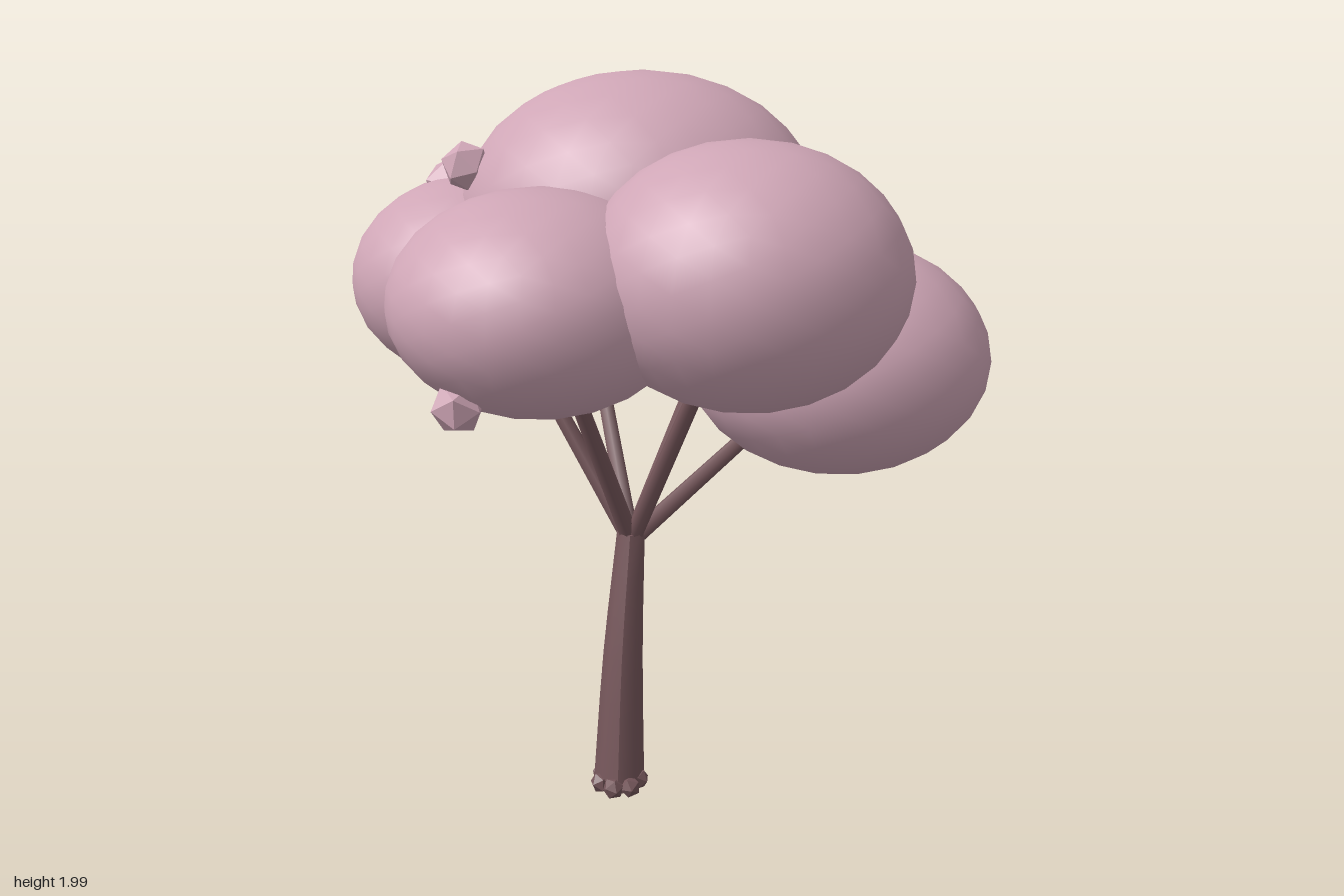
import * as THREE from 'three';
import { mergeVertices } from 'three/addons/utils/BufferGeometryUtils.js';

const material = (name, color) => {
  const m = new THREE.MeshStandardMaterial({ color });
  m.name = name;
  return m;
};

// Smooth sphere made of even triangles
function puffGeometry() {
  const g = new THREE.IcosahedronGeometry(1, 4);
  g.deleteAttribute('uv');
  g.deleteAttribute('normal');
  const merged = mergeVertices(g, 1e-4);
  merged.computeVertexNormals();
  return merged;
}

// Tapered limb between two points
function limb(from, to, r0, r1, sides) {
  const a = new THREE.Vector3(...from), b = new THREE.Vector3(...to);
  const dir = b.clone().sub(a);
  const g = new THREE.CylinderGeometry(r1, r0, dir.length(), sides);
  g.applyQuaternion(new THREE.Quaternion().setFromUnitVectors(new THREE.Vector3(0, 1, 0), dir.normalize()));
  g.translate(...a.add(b).multiplyScalar(0.5).toArray());
  return g;
}

export function createModel() {
  const tree = new THREE.Group();
  tree.name = 'tree';
  const pink = material('blossom pink', 0xcfa6b6);
  const brown = material('bark brown', 0x75565a);
  const grey = material('pale grey', 0xc6c9c2);
  const add = (name, geometry, mat) => {
    const mesh = new THREE.Mesh(geometry, mat);
    mesh.name = name;
    tree.add(mesh);
    return mesh;
  };

  // Foliage puffs: name, centre, radii
  const puffs = [
    ['topPuff', [-0.08, 1.61, -0.03], [0.5, 0.39, 0.46]],
    ['frontLeftPuff', [0.21, 1.555, 0.44], [0.415, 0.335, 0.41]],
    ['frontRightPuff', [-0.31, 1.48, 0.43], [0.39, 0.285, 0.39]],
    ['leftPuff', [0.47, 1.215, -0.02], [0.43, 0.325, 0.43]],
    ['rightPuff', [-0.53, 1.42, -0.07], [0.37, 0.29, 0.375]],
    ['backRightPuff', [-0.29, 1.33, -0.47], [0.36, 0.28, 0.38]],
    ['backLeftPuff', [0.16, 1.28, -0.43], [0.4, 0.31, 0.4]],
  ];
  const puff = puffGeometry();
  for (const [name, centre, radii] of puffs) {
    const mesh = add(name, puff, pink);
    mesh.position.set(...centre);
    mesh.scale.set(...radii);
  }

  // Leaning trunk: rings of a cylinder follow a curve and taper
  const path = new THREE.CatmullRomCurve3([
    [-0.135, 0.02, 0.31], [-0.125, 0.4, 0.235], [-0.105, 0.74, 0.155],
  ].map((p) => new THREE.Vector3(...p)));
  const trunk = new THREE.CylinderGeometry(1, 1, 1, 9, 6);
  const pos = trunk.attributes.position;
  for (let i = 0; i < pos.count; i++) {
    const t = pos.getY(i) + 0.5;
    const c = path.getPoint(t);
    const r = 0.074 - 0.034 * t;
    pos.setXYZ(i, c.x + pos.getX(i) * r, c.y, c.z + pos.getZ(i) * r);
  }
  trunk.computeVertexNormals();
  add('trunk', trunk, brown);

  // One branch into each outer puff
  for (const [name, centre] of puffs.slice(1)) {
    add(name.replace('Puff', 'Branch'), limb([-0.105, 0.71, 0.155], centre, 0.027, 0.02, 6), brown);
  }

  // Root knobs around the foot
  for (let i = 0; i < 7; i++) {
    const a = (i / 7) * Math.PI * 2;
    const knob = add('rootKnob', new THREE.IcosahedronGeometry(0.032, 0), brown);
    knob.position.set(-0.135 + Math.cos(a) * 0.055, 0.034, 0.32 + Math.sin(a) * 0.055);
    knob.rotation.set(i, i * 2, 0);
  }

  // Small faceted buds: centre, radius, material
  const buds = [
    [[-0.49, 1.275, 0.66], 0.07, pink],
    [[-0.62, 1.67, -0.13], 0.08, pink],
    [[-0.54, 1.76, 0.09], 0.07, pink],
    [[-0.7, 1.52, -0.38], 0.065, pink],
    [[0.33, 1.51, -0.6], 0.085, pink],
    [[0.16, 1.68, -0.49], 0.095, grey],
    [[-0.03, 1.38, -0.77], 0.065, grey],
  ];
  buds.forEach(([centre, radius, mat], i) => {
    const bud = add('bud', new THREE.IcosahedronGeometry(radius, 0), mat);
    bud.position.set(...centre);
    bud.rotation.set(i * 0.9, i * 1.7, 0);
  });

  return tree;
}
